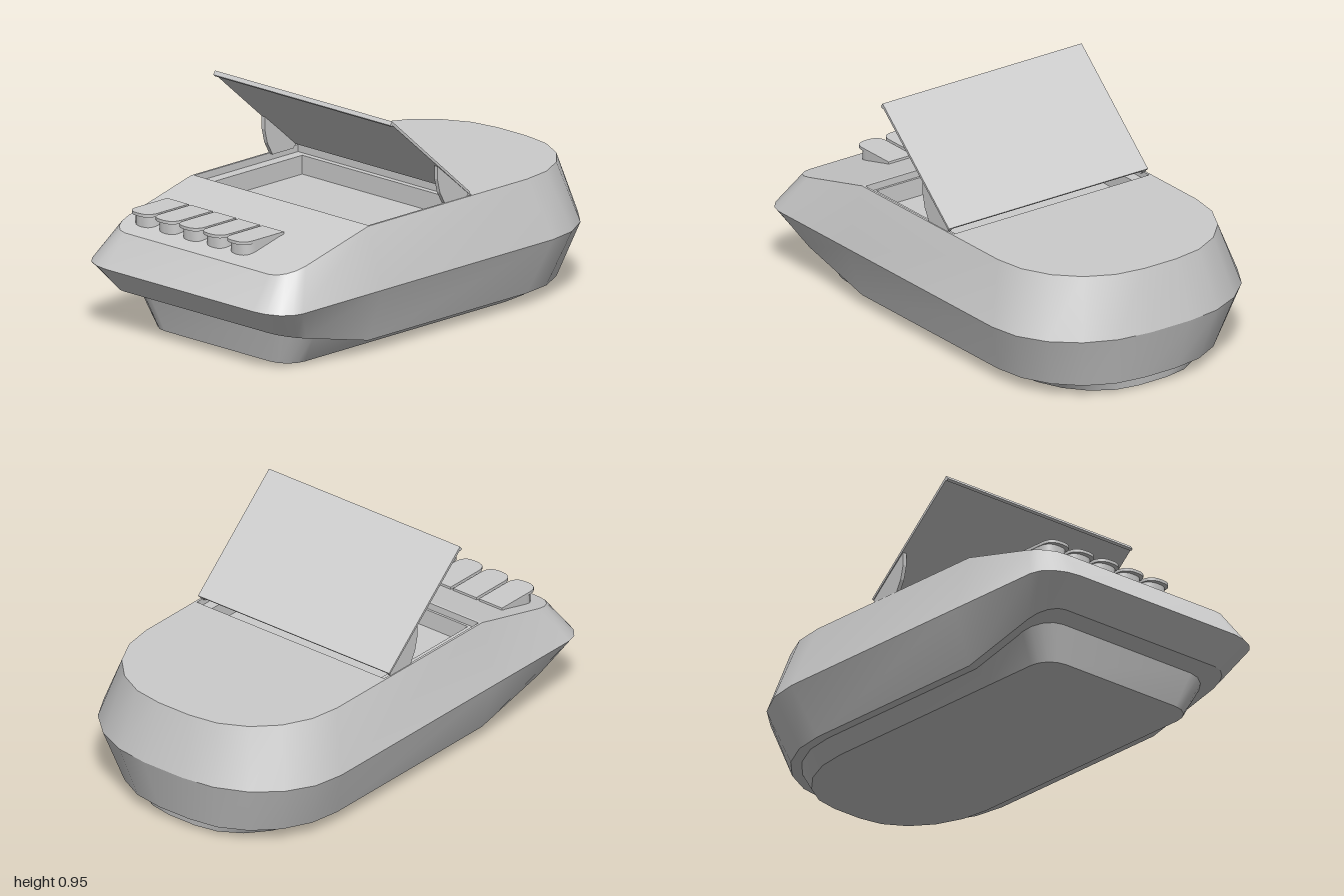
import * as THREE from 'three';
import { toCreasedNormals } from 'three/addons/utils/BufferGeometryUtils.js';

const CREASE = 0.42; // z where the deck starts sloping to the front

const deckY = z => 0.54 - Math.max(0, z - CREASE) * 0.25;
const underY = z => 0.055 + Math.max(0, z - CREASE) * 0.24;

// Plan outline as [x, z]: rounded front corners, straight sides, round back.
function outline({ w, front, rx, rz, flat, backStart, back }) {
  const half = [];
  for (let i = 0; i <= 4; i++) {
    const a = (i / 4) * Math.PI / 2;
    half.push([w - rx + rx * Math.sin(a), front - rz + rz * Math.cos(a)]);
  }
  half.push([w, CREASE]);
  for (let i = 0; i <= 5; i++) {
    const a = (i / 5) * Math.PI / 2;
    half.push([flat + (w - flat) * Math.cos(a), backStart + (back - backStart) * Math.sin(a)]);
  }
  return [...half, ...half.map(([x, z]) => [-x, z]).reverse()];
}

const rect = (x, zBack, zFront) => [[x, zFront], [x, zBack], [-x, zBack], [-x, zFront]];
const lift = (pts, yAt) => pts.map(([x, z]) => [x, yAt(z), z]);

// Skin between matching closed rings of [x, y, z].
function loft(rings) {
  const n = rings[0].length;
  const index = [];
  for (let r = 0; r < rings.length - 1; r++) {
    for (let i = 0; i < n; i++) {
      const a = r * n + i, b = r * n + (i + 1) % n;
      index.push(a, b, b + n, a, b + n, a + n);
    }
  }
  const g = new THREE.BufferGeometry();
  g.setAttribute('position', new THREE.Float32BufferAttribute(rings.flat(2), 3));
  g.setIndex(index);
  return toCreasedNormals(g, 0.5);
}

// Flat or sloped panel filling a plan outline.
function panel(pts, yAt, up = true, hole = null) {
  const s = up ? -1 : 1;
  const vec = p => p.map(([x, z]) => new THREE.Vector2(x, s * z));
  const shape = new THREE.Shape(vec(pts));
  if (hole) shape.holes.push(new THREE.Path(vec(hole)));
  const g = new THREE.ShapeGeometry(shape).rotateX(s * Math.PI / 2);
  const p = g.attributes.position;
  for (let i = 0; i < p.count; i++) p.setY(i, yAt(p.getZ(i)));
  g.computeVertexNormals();
  return g;
}

// Side profile of [z, y] points extruded from x0 to x1.
function sideExtrude(profile, x0, x1) {
  const shape = new THREE.Shape(profile.map(([z, y]) => new THREE.Vector2(z, y)));
  return new THREE.ExtrudeGeometry(shape, { depth: x1 - x0, bevelEnabled: false })
    .rotateY(-Math.PI / 2).translate(x1, 0, 0);
}

// Key plan with a rounded front end, extruded upwards.
function keySlab(w, zBack, zFront, y0, y1) {
  const r = 0.055, h = w / 2;
  const s = new THREE.Shape();
  s.moveTo(-h, -zBack);
  s.lineTo(-h, -zFront + r);
  s.quadraticCurveTo(-h, -zFront, -h + r, -zFront);
  s.lineTo(h - r, -zFront);
  s.quadraticCurveTo(h, -zFront, h, -zFront + r);
  s.lineTo(h, -zBack);
  const g = new THREE.ExtrudeGeometry(s, { depth: y1 - y0, bevelEnabled: false, curveSegments: 6 });
  return toCreasedNormals(g.rotateX(-Math.PI / 2).translate(0, y0, 0), 0.6);
}

export function createModel() {
  const model = new THREE.Group();
  const material = new THREE.MeshStandardMaterial({ color: 0xcccccc });
  const add = (name, geometry, parent = model) => {
    const mesh = new THREE.Mesh(geometry, material);
    mesh.name = name;
    parent.add(mesh);
    return mesh;
  };
  const group = name => {
    const g = new THREE.Group();
    g.name = name;
    model.add(g);
    return g;
  };

  // Casing: two tapering shells meeting at the waist
  const waist = outline({ w: 0.585, front: 1, rx: 0.165, rz: 0.12, flat: 0.1, backStart: -0.57, back: -1 });
  const rim = outline({ w: 0.505, front: 0.9, rx: 0.095, rz: 0.12, flat: 0.08, backStart: -0.5, back: -0.93 });
  const waistRing = lift(waist, () => 0.285);
  const casing = group('casing');
  add('upperShell', loft([waistRing, lift(rim, deckY)]), casing);
  add('lowerShell', loft([lift(rim, underY), waistRing]), casing);

  // Deck with the well opening, sloped key panel and underside
  const rear = rim.filter(([, z]) => z <= CREASE);
  const fore = rim.filter(([, z]) => z >= CREASE);
  const opening = rect(0.495, -0.19, 0.41);
  add('deck', panel(rear, deckY, true, opening), casing);
  add('keyPanel', panel(fore, deckY), casing);
  add('undersideRear', panel(rear, underY, false), casing);
  add('undersideFront', panel(fore, underY, false), casing);

  // Stepped well below the lid
  const inner = rect(0.447, -0.165, 0.4);
  const well = group('well');
  const steps = [[opening, 0.54], [opening, 0.51], [inner, 0.51], [inner, 0.43]];
  add('wellWalls', loft(steps.map(([pts, y]) => lift(pts, () => y))), well);
  add('wellFloor', panel(inner, () => 0.43), well);

  // Base plinth
  const foot = outline({ w: 0.4, front: 0.78, rx: 0.1, rz: 0.1, flat: 0.07, backStart: -0.48, back: -0.88 });
  const plinth = outline({ w: 0.47, front: 0.82, rx: 0.12, rz: 0.12, flat: 0.08, backStart: -0.48, back: -0.89 });
  const base = group('base');
  add('baseSides', loft([lift(foot, () => 0), lift(plinth, z => underY(z) + 0.004)]), base);
  add('baseBottom', panel(foot, () => 0, false), base);

  // Open lid with a lip along its free edge, and two hinge cheeks
  const lid = group('lid');
  add('lidPanel', sideExtrude([
    [-0.17, 0.558], [-0.164, 0.551], [0.279, 0.937], [0.284, 0.932],
    [0.292, 0.94], [0.281, 0.955],
  ], -0.505, 0.505), lid);
  const cheek = [[-0.165, 0.552], [-0.15, 0.535], [-0.03, 0.535], [0, 0.59],
    [0.015, 0.65], [0.015, 0.705]];
  for (const s of [-1, 1]) {
    const x = s * 0.492;
    add(s > 0 ? 'leftHinge' : 'rightHinge', sideExtrude(cheek, x - 0.009, x + 0.009), lid);
  }

  // Row of five keys
  for (let i = 0; i < 5; i++) {
    const key = group('key' + (i + 1));
    key.position.x = -0.384 + i * 0.136;
    add('keyCap', keySlab(0.122, 0.62, 0.852, 0.487, 0.5), key);
    add('keyStem', keySlab(0.118, 0.622, 0.832, 0.42, 0.488), key);
  }

  return model;
}
